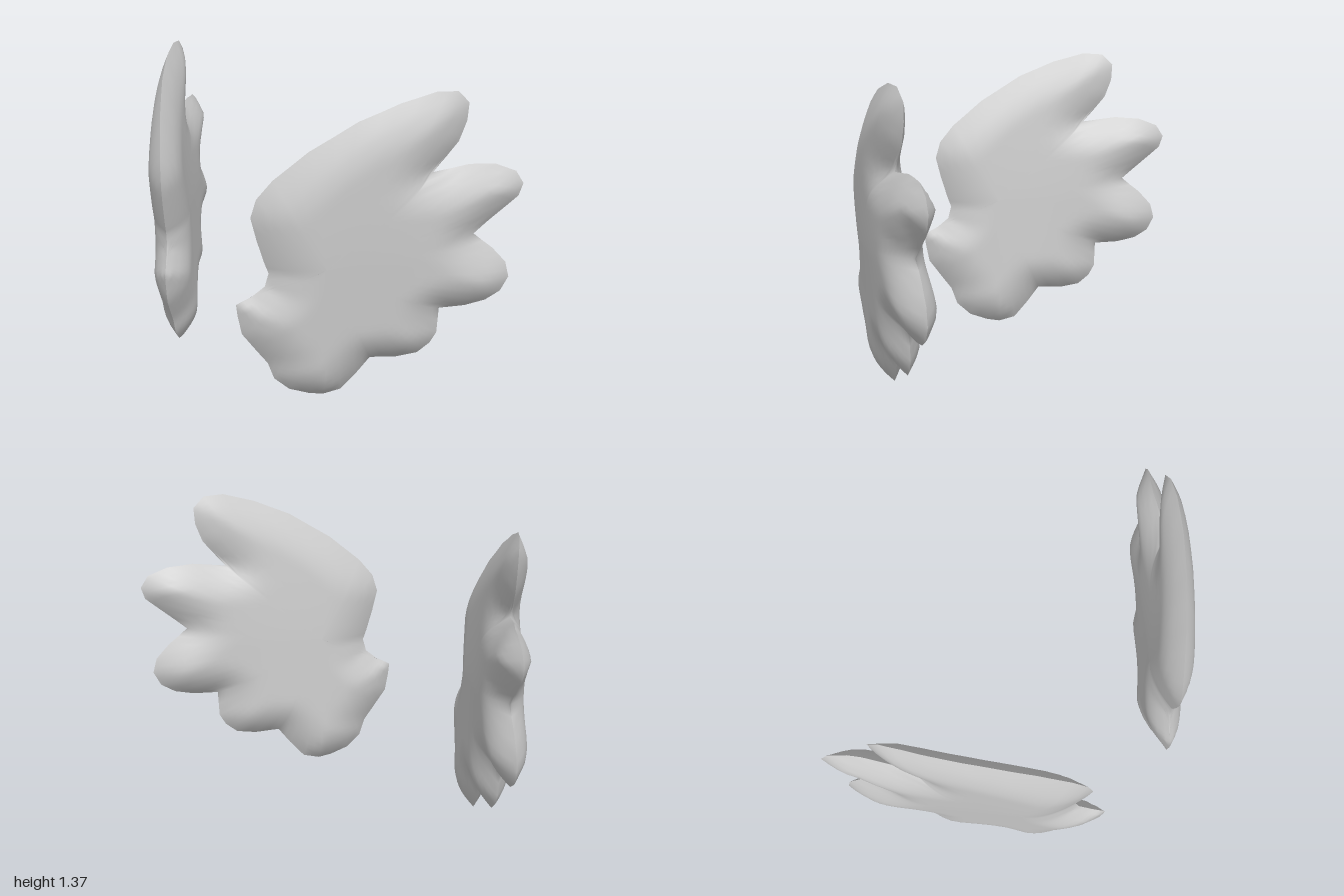
import * as THREE from 'three';

// Wing outline as (z, y) pairs, counter-clockwise seen from the outer side
const OUTLINE = [
  0.16, 0, 0.10, 0.02, 0.05, 0.10, 0.01, 0.175, -0.08, 0.17, -0.15, 0.185, -0.19, 0.23, -0.21, 0.28,
  -0.21, 0.40, -0.30, 0.405, -0.37, 0.425, -0.42, 0.465, -0.445, 0.53, -0.43, 0.60, -0.38, 0.67,
  -0.31, 0.74, -0.41, 0.85, -0.455, 0.90, -0.468, 0.955, -0.44, 1.01, -0.37, 1.045, -0.27, 1.053,
  -0.135, 1.03, -0.22, 1.155, -0.245, 1.24, -0.247, 1.315, -0.20, 1.365, -0.12, 1.37, 0, 1.33,
  0.13, 1.26, 0.27, 1.14, 0.37, 1.02, 0.415, 0.94, 0.43, 0.86, 0.41, 0.76, 0.385, 0.66, 0.37, 0.61,
  0.38, 0.55, 0.42, 0.505, 0.47, 0.47, 0.465, 0.42, 0.45, 0.33, 0.40, 0.245, 0.36, 0.18,
  0.335, 0.10, 0.28, 0.04, 0.21, 0.01,
];
const CENTRE = new THREE.Vector2(0.2, 0.65);
const RINGS = 18, BEVEL = 0.18;

const corners = [];
for (let i = 0; i < OUTLINE.length; i += 2) corners.push(new THREE.Vector2(OUTLINE[i], OUTLINE[i + 1]));

// Outline with the middle of each edge added
const rim = corners.flatMap((p, i) => [p, p.clone().lerp(corners[(i + 1) % corners.length], 0.5)]);

// Distance from a point to the outline
function edgeDistance(p) {
  let best = Infinity;
  corners.forEach((a, i) => {
    const ab = corners[(i + 1) % corners.length].clone().sub(a);
    const ap = p.clone().sub(a);
    const t = THREE.MathUtils.clamp(ap.dot(ab) / ab.lengthSq(), 0, 1);
    best = Math.min(best, ap.addScaledVector(ab, -t).length());
  });
  return best;
}

// Outward curve of the wing: strongest along the middle of the top, slightly inward at the foot
const bow = (z, y) => 0.08 * Math.max(0, 1 - ((z - 0.1) / 0.44) ** 2) * (1.05 * y - 0.35);

// Half thickness: fullest at mid height, thinner towards the top feather
const halfThickness = (y) => 0.085 - 0.06 * Math.max(0, y - 0.65) ** 1.5;

// One puffed face; side = +1 left / -1 right wing, face = +1 outer / -1 inner
function wingFace(side, face) {
  const positions = [], indices = [], n = rim.length;
  for (let k = 0; k <= RINGS; k++) {
    const scale = 1 - Math.pow(k / RINGS, 1.4);
    for (const r of rim) {
      const p = CENTRE.clone().lerp(r, scale);
      const u = k === 0 ? 0 : Math.min(edgeDistance(p) / BEVEL, 1);
      const h = face * halfThickness(p.y) * (1 - (1 - u) ** 2);
      const x = 0.61 - 0.83 * p.x + bow(p.x, p.y) + 0.77 * h;
      positions.push(side * x, p.y, p.x + 0.64 * h);
    }
  }
  for (let k = 0; k < RINGS; k++) {
    for (let j = 0; j < n; j++) {
      const a = k * n + j, b = k * n + (j + 1) % n, c = b + n, d = a + n;
      if (side * face > 0) indices.push(a, b, c, a, c, d);
      else indices.push(a, c, b, a, d, c);
    }
  }
  const geometry = new THREE.BufferGeometry();
  geometry.setAttribute('position', new THREE.Float32BufferAttribute(positions, 3));
  geometry.setIndex(indices);
  geometry.computeVertexNormals();
  return geometry;
}

export function createModel() {
  const model = new THREE.Group();
  model.name = 'wings';
  const material = new THREE.MeshStandardMaterial({ color: 0xcccccc });
  // Two mirrored wings, each with an outer and inner face meeting at a sharp rim
  for (const side of [1, -1]) {
    const wing = new THREE.Group();
    wing.name = side > 0 ? 'leftWing' : 'rightWing';
    for (const face of [1, -1]) {
      const mesh = new THREE.Mesh(wingFace(side, face), material);
      mesh.name = face > 0 ? 'outerFace' : 'innerFace';
      wing.add(mesh);
    }
    model.add(wing);
  }
  return model;
}
